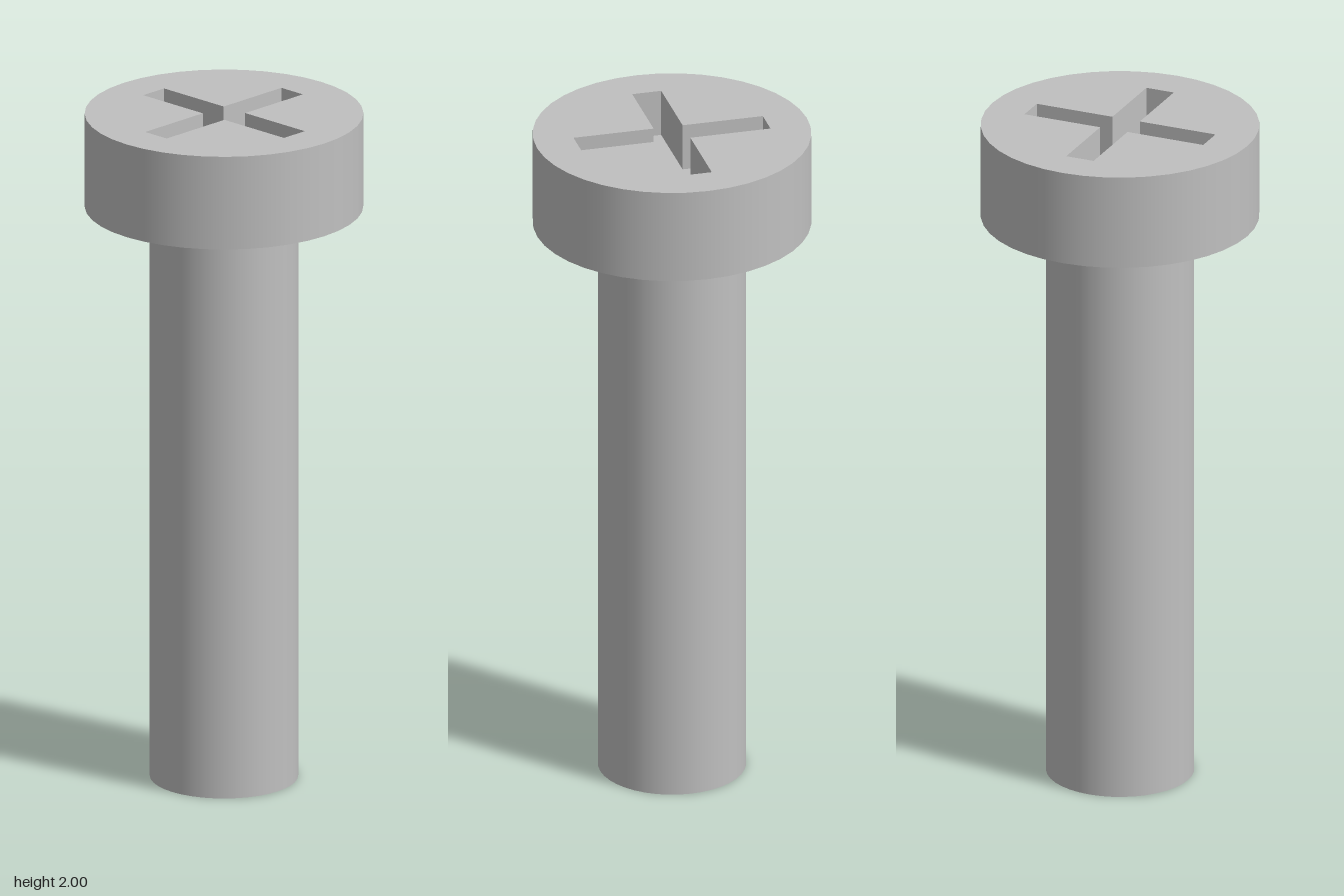
import * as THREE from 'three';

const SEGMENTS = 40;
const HEAD_R = 0.4, HEAD_BOTTOM = 1.72, TOP = 2;
const SHANK_R = 0.213;
const ARM = 0.281, HALF_SLOT = 0.043, RECESS_DEPTH = 0.14;

// Cross outline, counter-clockwise
function crossPoints() {
  const a = ARM, w = HALF_SLOT;
  return [
    [a, -w], [a, w], [w, w], [w, a], [-w, a], [-w, w],
    [-a, w], [-a, -w], [-w, -w], [-w, -a], [w, -a], [w, -w],
  ].map(([x, y]) => new THREE.Vector2(x, y));
}

export function createModel() {
  const screw = new THREE.Group();
  screw.name = 'screw';
  const steel = new THREE.MeshStandardMaterial({ color: 0xc0c0c0 });
  steel.name = 'steel grey';

  const add = (name, geometry, parent = screw) => {
    const mesh = new THREE.Mesh(geometry, steel);
    mesh.name = name;
    parent.add(mesh);
    return mesh;
  };

  // Shank with a flat end
  add('shank', new THREE.CylinderGeometry(SHANK_R, SHANK_R, HEAD_BOTTOM, SEGMENTS))
    .position.y = HEAD_BOTTOM / 2;

  // Head: rim, underside and slotted top
  const head = new THREE.Group();
  head.name = 'head';
  screw.add(head);
  const headHeight = TOP - HEAD_BOTTOM;
  add('headRim', new THREE.CylinderGeometry(HEAD_R, HEAD_R, headHeight, SEGMENTS, 1, true), head)
    .position.y = HEAD_BOTTOM + headHeight / 2;
  add('headUnderside', new THREE.RingGeometry(SHANK_R, HEAD_R, SEGMENTS).rotateX(Math.PI / 2), head)
    .position.y = HEAD_BOTTOM;

  const disc = new THREE.Shape(Array.from({ length: SEGMENTS }, (_, i) => {
    const t = (i / SEGMENTS) * Math.PI * 2;
    return new THREE.Vector2(HEAD_R * Math.cos(t), HEAD_R * Math.sin(t));
  }));
  const cross = crossPoints();
  disc.holes.push(new THREE.Path([...cross].reverse()));
  add('headTop', new THREE.ShapeGeometry(disc).rotateX(-Math.PI / 2), head).position.y = TOP;

  // Cross recess: floor and inward-facing walls
  const recess = new THREE.Group();
  recess.name = 'crossRecess';
  head.add(recess);
  add('recessFloor', new THREE.ShapeGeometry(new THREE.Shape(cross)).rotateX(-Math.PI / 2), recess)
    .position.y = TOP - RECESS_DEPTH;
  cross.forEach((p, i) => {
    const q = cross[(i + 1) % cross.length];
    const dx = q.x - p.x, dy = q.y - p.y;
    const wall = add('recessWall', new THREE.PlaneGeometry(p.distanceTo(q), RECESS_DEPTH), recess);
    wall.position.set((p.x + q.x) / 2, TOP - RECESS_DEPTH / 2, -(p.y + q.y) / 2);
    wall.rotation.y = Math.atan2(-dy, -dx); // faces the inside of the cross
  });

  return screw;
}
